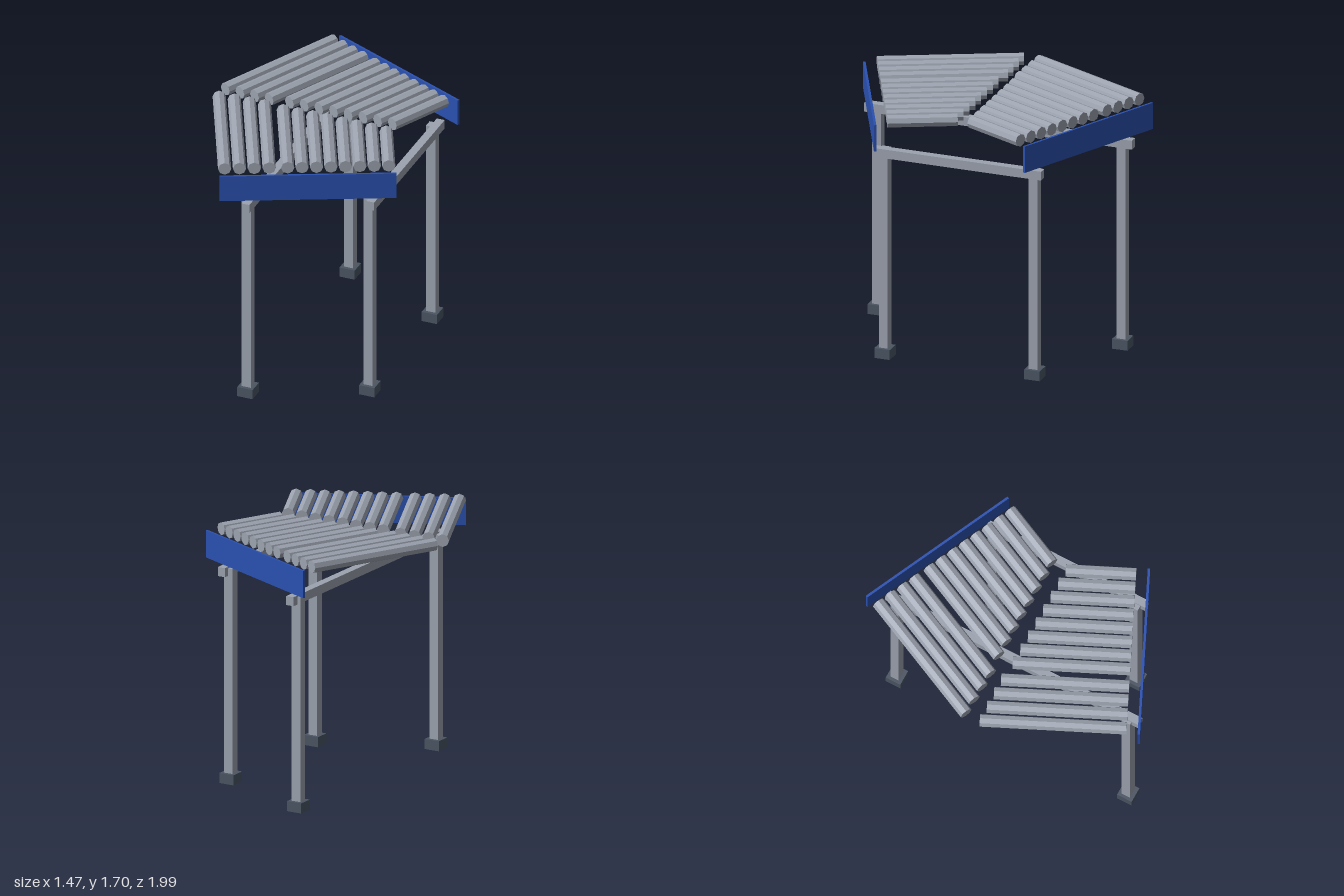
import * as THREE from 'three';

export function createModel() {
  const model = new THREE.Group();
  const material = (name, color, flatShading = false) => {
    const m = new THREE.MeshStandardMaterial({ color, flatShading });
    m.name = name;
    return m;
  };
  const steel = material('grey steel', 0x9ca3af, true);
  const blue = material('blue panel', 0x2a50b0);
  const dark = material('dark footing', 0x4b5563);

  const add = (name, geometry, mat, x, y, z, turn = 0) => {
    const mesh = new THREE.Mesh(geometry, mat);
    mesh.name = name;
    mesh.position.set(x, y, z);
    mesh.rotation.y = turn;
    model.add(mesh);
  };
  const box = (w, h, d) => new THREE.BoxGeometry(w, h, d);

  const angle = THREE.MathUtils.degToRad(25);
  const sin = Math.sin(angle), cos = Math.cos(angle), slope = Math.tan(angle);

  // Two frames: a wide one and a narrow one, each a beam on two posts
  const frames = [
    { x: -0.163, z: 0.84, beamX: -0.148, beamLength: 1.84 },
    { x: 0.545, z: 0.515, beamX: 0.575, beamLength: 1.16 },
  ];
  for (const f of frames) {
    add('crossBeam', box(0.055, 0.06, f.beamLength), steel, f.beamX, 1.41, 0);
    for (const side of [1, -1]) {
      add('post', box(0.065, 1.38, 0.06), steel, f.x, 0.74, side * f.z);
      add('footing', box(0.106, 0.067, 0.106), dark, f.x, 0.0335, side * f.z);
    }
  }

  // Inner ends of the roof tubes: four, a gap, then eight
  const innerEnds = [];
  for (let i = 0; i < 4; i++) innerEnds.push([-0.697 + i * 0.103, 0.05 - i * 0.004]);
  for (let i = 0; i < 8; i++) innerEnds.push([-0.252 + i * 0.102, 0.05]);

  for (const side of [1, -1]) {
    // Slanted fascia panel
    add('fasciaPanel', box(1.13, 0.18, 0.016), blue, 0.215, 1.56, side * 0.75, side * angle);

    // Octagonal tubes, each running out to a line parallel to the fascia
    for (const [x, z] of innerEnds) {
      const length = (0.9 - slope * (x + 0.295) - z) / (cos + slope * sin);
      const tube = new THREE.CylinderGeometry(0.0425, 0.0425, length, 8).rotateX(Math.PI / 2);
      add('roofTube', tube, steel,
        x + sin * length / 2, 1.657, side * (z + cos * length / 2), side * angle);
    }
  }
  return model;
}
